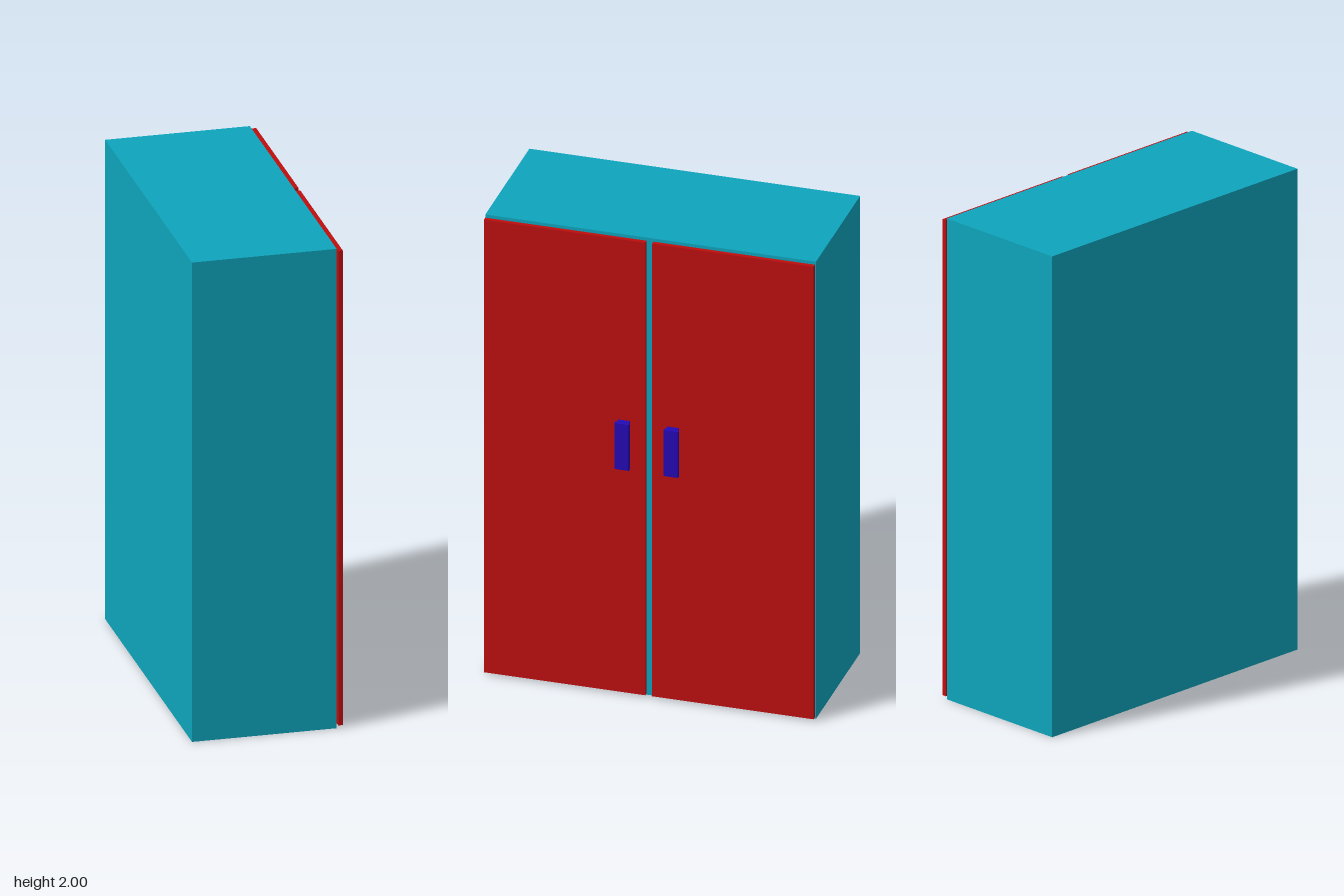
import * as THREE from 'three';

const material = (color) => new THREE.MeshStandardMaterial({ color, flatShading: true });

// Box given by its lower and upper corners
function box(name, min, max, mat) {
  const size = max.map((v, i) => v - min[i]);
  const mesh = new THREE.Mesh(new THREE.BoxGeometry(...size), mat);
  mesh.position.set(...max.map((v, i) => (v + min[i]) / 2));
  mesh.name = name;
  return mesh;
}

// T-shaped pull: narrow stem and a wider grip with chamfered edges
function handleGeometry(height) {
  const half = [[0, 0.024], [0.019, 0.024], [0.022, 0.03], [0.033, 0.03], [0.036, 0.027]];
  const outline = [...half, ...half.map(([x, z]) => [x, -z]).reverse()];
  const shape = new THREE.Shape(outline.map(([x, z]) => new THREE.Vector2(x, z)));
  const geometry = new THREE.ExtrudeGeometry(shape, { depth: height, bevelEnabled: false });
  return geometry.rotateX(-Math.PI / 2);
}

export function createModel() {
  const model = new THREE.Group();
  model.name = 'wardrobe';
  const teal = material(0x0ea5bd);
  const red = material(0xbe0e0e);
  const blue = material(0x2409b4);

  // Cabinet body
  model.add(box('cabinet', [-0.32, 0, -0.672], [0.26, 2, 0.672], teal));

  // Two doors on the +x face, each with a handle beside the central gap
  const handle = handleGeometry(0.2);
  for (const [side, label] of [[1, 'front'], [-1, 'back']]) {
    const z = [side * 0.014, side * 0.67].sort((a, b) => a - b);
    model.add(box(`${label}Door`, [0.267, 0.01, z[0]], [0.285, 1.99, z[1]], red));

    const pull = new THREE.Mesh(handle, blue);
    pull.name = `${label}Handle`;
    pull.position.set(0.284, 1, side * 0.1);
    model.add(pull);
  }
  return model;
}
